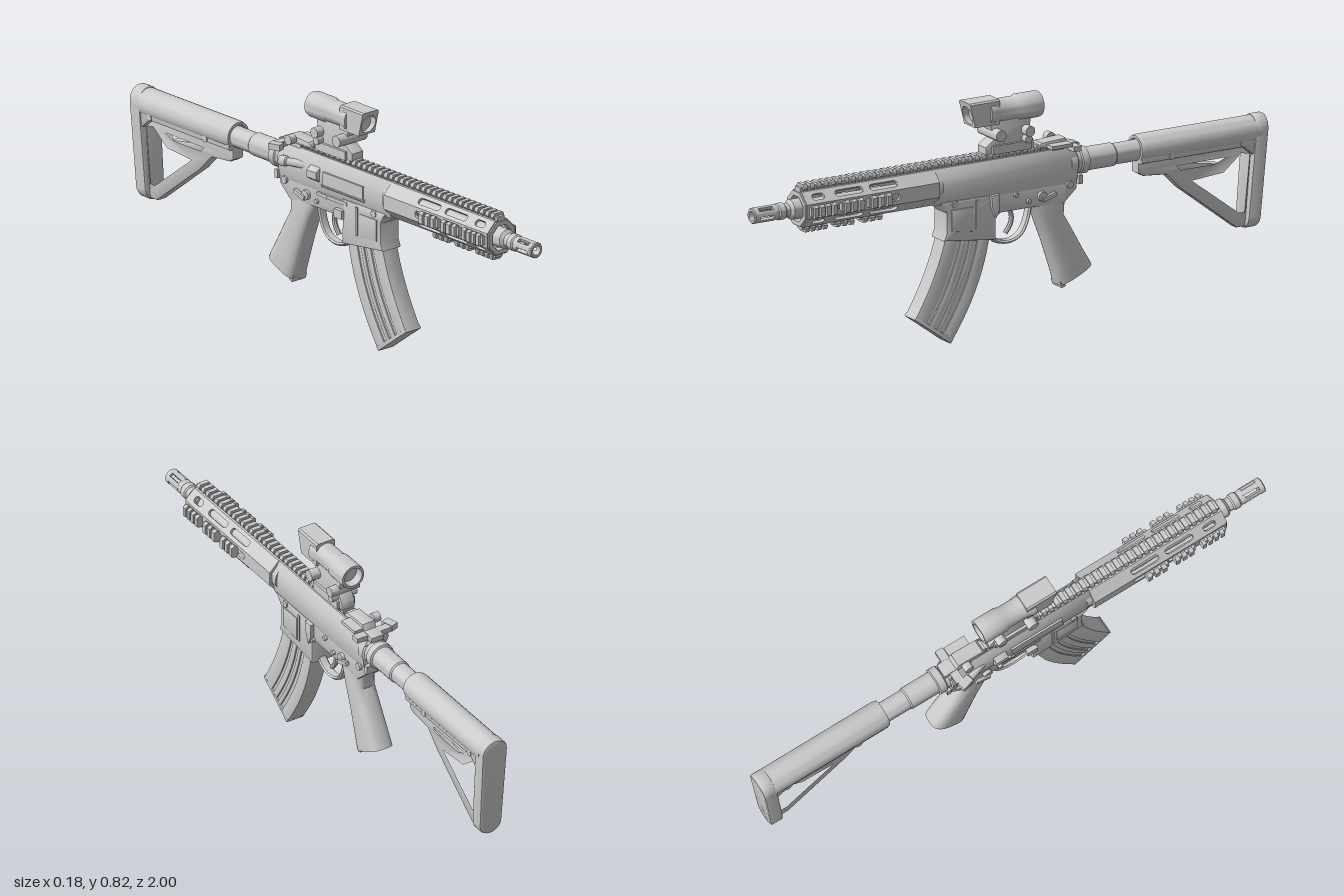
import * as THREE from 'three';
import { mergeGeometries, toCreasedNormals } from 'three/addons/utils/BufferGeometryUtils.js';

const material = new THREE.MeshStandardMaterial({ color: 0xcccccc });
const AXIS = 0.553; // height of the bore
const V = (x, y, z) => new THREE.Vector3(x, y, z);
const poly = (pts) => new THREE.Shape(pts.map(([a, b]) => new THREE.Vector2(a, b)));

// extrude an (x, y) outline from z0 to z1
function alongZ(shape, z0, z1, bevel = 0) {
  return new THREE.ExtrudeGeometry(shape, {
    depth: z1 - z0 - 2 * bevel, bevelEnabled: bevel > 0, bevelSize: bevel,
    bevelThickness: bevel, bevelOffset: -bevel, bevelSegments: 2, curveSegments: 12,
  }).translate(0, 0, z0 + bevel);
}
// extrude a (z, y) side outline to a width centred on x
const alongX = (shape, width, bevel = 0) =>
  alongZ(shape, -width / 2, width / 2, bevel).rotateY(-Math.PI / 2);

// turned part on the z axis; profile is [radius, z]
const turned = (pts, sides = 28) =>
  new THREE.LatheGeometry(pts.map(([r, z]) => new THREE.Vector2(r, z)), sides).rotateX(Math.PI / 2);
const pin = (r, len, sides = 16) => new THREE.CylinderGeometry(r, r, len, sides).rotateZ(Math.PI / 2);
const box = (w, h, d) => new THREE.BoxGeometry(w, h, d);

// rounded slot outline
function slot(c, d, half, r) {
  const p = new THREE.Path();
  p.absarc(c + half, d, r, -Math.PI / 2, Math.PI / 2);
  p.absarc(c - half, d, r, Math.PI / 2, Math.PI * 1.5);
  return p;
}
// toothed accessory rail standing on height y
function rail(z0, z1, y, width) {
  const parts = [box(width * 0.7, 0.016, z1 - z0).translate(0, y + 0.006, (z0 + z1) / 2)];
  const n = Math.round((z1 - z0) / 0.027), step = (z1 - z0) / n, h = width / 2;
  const tooth = poly([[-h * 0.7, 0], [h * 0.7, 0], [h, 0.009], [h, 0.015], [h * 0.75, 0.024],
    [-h * 0.75, 0.024], [-h, 0.015], [-h, 0.009]]);
  for (let i = 0; i < n; i++)
    parts.push(alongZ(tooth, z0 + i * step, z0 + (i + 0.6) * step).translate(0, y, 0));
  return mergeGeometries(parts.map((g) => g.index ? g.toNonIndexed() : g));
}
// loft of rounded sections: [front z, front y, back z, back y, half width, scale]
function loft(sections, sides = 24) {
  const pos = [], idx = [];
  const soft = (t) => Math.sign(t) * Math.pow(Math.abs(t), 0.65);
  for (const [fz, fy, bz, by, w, s = 1] of sections)
    for (let i = 0; i < sides; i++) {
      const a = (i / sides) * Math.PI * 2, c = soft(Math.cos(a)) * s / 2;
      pos.push(soft(Math.sin(a)) * w * s, (fy + by) / 2 + c * (fy - by), (fz + bz) / 2 + c * (fz - bz));
    }
  for (let k = 0; k < sections.length - 1; k++)
    for (let i = 0; i < sides; i++) {
      const a = k * sides + i, b = k * sides + (i + 1) % sides;
      idx.push(a, a + sides, b, b, a + sides, b + sides);
    }
  const g = new THREE.BufferGeometry();
  g.setAttribute('position', new THREE.Float32BufferAttribute(pos, 3));
  g.setIndex(idx);
  return g;
}

export function createModel() {
  const model = new THREE.Group();
  const body = new THREE.Group();
  body.name = 'body';
  body.position.x = 0.005;
  model.add(body);
  const add = (name, geo, x = 0, y = 0, z = 0, mat = material) => {
    const mesh = new THREE.Mesh(toCreasedNormals(geo, 0.6), mat);
    mesh.name = name;
    mesh.position.set(x, y, z);
    body.add(mesh);
    return mesh;
  };

  // barrel and slotted muzzle
  add('barrel', turned([[0, 0.25], [0.026, 0.25], [0.026, 0.8], [0.034, 0.8], [0.034, 0.85], [0.024, 0.86],
    [0.024, 0.875], [0.029, 0.88], [0.029, 0.9], [0.025, 0.905], [0.027, 0.925], [0.012, 0.925], [0.012, 0.88], [0, 0.88]]), 0, AXIS);
  for (let i = 0; i < 5; i++) {
    const a = (i / 5) * Math.PI * 2 + Math.PI / 2, s = new THREE.Shape();
    s.absarc(0, 0, 0.027, a - 0.36, a + 0.36, false);
    s.absarc(0, 0, 0.016, a + 0.36, a - 0.36, true);
    add('muzzleProng', alongZ(s, 0.92, 0.99), 0, AXIS);
  }
  add('muzzleRing', turned([[0.016, 0.98], [0.027, 0.98], [0.027, 0.997], [0.024, 1], [0.016, 1], [0.016, 0.98]]), 0, AXIS);

  // octagonal handguard with slotted panels
  const R = 0.061, half = R * Math.tan(Math.PI / 8);
  for (let i = 0; i < 8; i++) {
    const panel = poly([[0.3, -half], [0.82, -half], [0.82, half], [0.3, half]]);
    if (i !== 2) for (const c of [0.51, 0.645]) panel.holes.push(slot(c, 0, 0.042, 0.012));
    if (i !== 2) panel.holes.push(slot(0.765, 0, 0.012, 0.012));
    add('handguardPanel', alongX(panel, 0.01).translate(R - 0.005, 0, 0).rotateZ(i * Math.PI / 4), 0, AXIS);
  }
  add('handguardFrontRing', turned([[0.046, 0.8], [0.062, 0.8], [0.062, 0.825], [0.046, 0.825], [0.046, 0.8]], 8)
    .rotateZ(Math.PI / 8), 0, AXIS);
  add('barrelNut', turned([[0, 0.28], [0.052, 0.28], [0.052, 0.4], [0.03, 0.42], [0, 0.42]]), 0, AXIS);
  add('topRail', rail(-0.2, 0.82, 0.613, 0.046));
  for (const [name, turn] of [['sideRail', -1], ['bottomRail', 2], ['sideRail', 1]])
    for (const [z0, z1] of [[0.5, 0.585], [0.61, 0.69], [0.715, 0.81]])
      add(name, rail(z0, z1, R - 0.002, 0.044).rotateZ(turn * Math.PI / 2), 0, AXIS);

  // upper receiver
  add('upperReceiver', alongZ(poly([[-0.036, 0.49], [0.036, 0.49], [0.043, 0.51], [0.046, 0.55], [0.042, 0.582],
    [0.023, 0.614], [-0.023, 0.614], [-0.042, 0.582], [-0.046, 0.55], [-0.043, 0.51]]), -0.25, 0.31, 0.004));
  add('ejectionCover', box(0.008, 0.046, 0.2), -0.046, 0.548, 0.08);
  add('coverHinge', new THREE.CylinderGeometry(0.006, 0.006, 0.21, 10).rotateX(Math.PI / 2), -0.046, 0.522, 0.08);
  add('shellDeflector', alongZ(poly([[-0.04, 0.525], [-0.04, 0.58], [-0.062, 0.565], [-0.062, 0.54]]), -0.09, -0.04, 0.004));
  add('forwardAssist', turned([[0, -0.06], [0.016, -0.06], [0.018, -0.052], [0.018, -0.035], [0.013, -0.03], [0.015, 0.06], [0, 0.07]], 18)
    .rotateY(0.35), -0.045, 0.565, -0.16);
  add('chargingHandle', alongX(poly([[-0.27, 0.604], [-0.16, 0.604], [-0.16, 0.624], [-0.25, 0.628], [-0.27, 0.622]]), 0.05, 0.003));
  add('chargingLatch', box(0.135, 0.018, 0.03), 0, 0.616, -0.235);
  add('latchTab', box(0.03, 0.022, 0.045), -0.078, 0.616, -0.222).rotation.y = 0.3;
  // folded rear sight
  add('rearSight', alongX(poly([[-0.225, 0.625], [-0.1, 0.625], [-0.12, 0.643], [-0.215, 0.648]]), 0.05, 0.003));
  add('sightKnob', pin(0.017, 0.026), -0.042, 0.64, -0.19);
  add('sightPlate', box(0.04, 0.012, 0.08), 0.04, 0.63, -0.18);

  // lower receiver and magazine well
  add('lowerReceiver', alongX(poly([[0.3, 0.51], [0.26, 0.465], [0.08, 0.43], [-0.08, 0.43], [-0.2, 0.425],
    [-0.25, 0.47], [-0.255, 0.59], [-0.22, 0.59], [-0.2, 0.51]]), 0.074, 0.005));
  add('magazineWell', alongX(poly([[0.29, 0.5], [0.262, 0.462], [0.262, 0.39], [0.272, 0.365], [0.068, 0.34],
    [0.07, 0.5]]), 0.086, 0.008));
  add('wellPanel', alongX(poly([[0.245, 0.47], [0.245, 0.395], [0.16, 0.385], [0.16, 0.47]]), 0.092, 0.003));
  add('wellRib', box(0.094, 0.1, 0.01), 0, 0.44, 0.145);
  for (const [z, y, r] of [[0.23, 0.488, 0.012], [-0.22, 0.49, 0.013], [-0.01, 0.485, 0.008], [-0.06, 0.455, 0.008], [0.065, 0.437, 0.008]])
    add('receiverPin', pin(r, 0.094), 0, y, z);
  add('selectorHub', pin(0.017, 0.098), 0, 0.465, -0.112);
  for (const s of [-1, 1]) add('selectorLever', box(0.012, 0.014, 0.055), s * 0.05, 0.462, -0.135).rotation.x = 0.3;
  add('boltCatch', alongX(poly([[0.06, 0.5], [0.095, 0.5], [0.09, 0.455], [0.075, 0.42], [0.06, 0.45]]), 0.016, 0.003), 0.047);
  add('magazineRelease', box(0.016, 0.03, 0.04), -0.047, 0.445, 0.06);
  add('releaseFence', box(0.01, 0.012, 0.15), -0.04, 0.485, 0.02);

  // trigger and guard
  const bow = new THREE.CatmullRomCurve3([V(0, 0.355, 0.08), V(0, 0.328, 0.05), V(0, 0.318, 0), V(0, 0.335, -0.045),
    V(0, 0.375, -0.07), V(0, 0.435, -0.085)]);
  add('triggerGuard', new THREE.TubeGeometry(bow, 28, 0.008, 8).scale(2.2, 1, 1));
  const blade = new THREE.CatmullRomCurve3([V(0, 0.44, 0), V(0, 0.405, -0.016), V(0, 0.375, -0.012), V(0, 0.345, 0.008)]);
  add('trigger', new THREE.TubeGeometry(blade, 14, 0.008, 8).scale(1.2, 1, 1));

  // pistol grip with hollow foot
  add('grip', loft([[-0.07, 0.46, -0.235, 0.475, 0.034], [-0.085, 0.425, -0.215, 0.425, 0.038],
    [-0.105, 0.385, -0.21, 0.385, 0.04], [-0.14, 0.295, -0.245, 0.325, 0.042], [-0.172, 0.2, -0.287, 0.25, 0.045],
    [-0.19, 0.14, -0.317, 0.2, 0.046], [-0.19, 0.14, -0.317, 0.2, 0.046, 0.84],
    [-0.165, 0.22, -0.28, 0.27, 0.044, 0.8], [-0.165, 0.22, -0.28, 0.27, 0.044, 0]]));
  add('gripLip', box(0.06, 0.022, 0.016), 0, 0.145, -0.2).rotation.x = 0.35;

  // curved magazine: a core with long raised ribs
  const front = new THREE.QuadraticBezierCurve(new THREE.Vector2(0.255, 0.4), new THREE.Vector2(0.285, 0.26), new THREE.Vector2(0.38, 0.107));
  const rear = new THREE.QuadraticBezierCurve(new THREE.Vector2(0.082, 0.4), new THREE.Vector2(0.1, 0.2), new THREE.Vector2(0.24, 0.005));
  const strip = (f0, f1, t0 = 0, t1 = 1) => {
    const edge = (f) => Array.from({ length: 13 }, (_, i) => {
      const t = t0 + (t1 - t0) * i / 12;
      return front.getPoint(t).lerp(rear.getPoint(t), f);
    });
    return new THREE.Shape([...edge(f0), ...edge(f1).reverse()]);
  };
  add('magazine', alongX(strip(0, 1), 0.056, 0.003));
  for (const [a, b] of [[0, 0.3], [0.36, 0.5], [0.56, 0.66], [0.74, 1]])
    add('magazineRib', alongX(strip(a, b), 0.066, 0.004));
  add('magazineFloor', alongX(strip(-0.01, 1.0, 0.965, 1), 0.068, 0.003));

  // buffer tube
  add('bufferTube', turned([[0, -0.6], [0.036, -0.6], [0.036, -0.41], [0.04, -0.405], [0.04, -0.3], [0.047, -0.297], [0.047, -0.272],
    [0.043, -0.268], [0.043, -0.255], [0.049, -0.25], [0.049, -0.225], [0, -0.225]]), 0, 0.556);
  add('slingPlate', box(0.085, 0.03, 0.016), 0, 0.5, -0.262);

  // shoulder stock
  add('stockTube', turned([[0, -0.97], [0.05, -0.97], [0.05, -0.515], [0.047, -0.5], [0.037, -0.5], [0.037, -0.55]]), 0, 0.56);
  const frame = poly([[-0.5, 0.54], [-0.5, 0.48], [-0.52, 0.468], [-0.61, 0.46], [-0.67, 0.4], [-0.885, 0.235], [-0.95, 0.235], [-0.98, 0.54]]);
  frame.holes.push(poly([[-0.7, 0.427], [-0.89, 0.28], [-0.92, 0.28], [-0.942, 0.49], [-0.9, 0.497], [-0.83, 0.44]]));
  frame.holes.push(poly([[-0.64, 0.488], [-0.66, 0.462], [-0.8, 0.462], [-0.85, 0.488]]));
  add('stockFrame', alongX(frame, 0.046, 0.006));
  add('stockSkirt', alongX(poly([[-0.5, 0.55], [-0.5, 0.515], [-0.9, 0.515], [-0.955, 0.47], [-0.975, 0.55]]), 0.084, 0.008));
  add('adjustLever', alongX(poly([[-0.55, 0.49], [-0.6, 0.475], [-0.78, 0.442], [-0.82, 0.45], [-0.82, 0.465], [-0.62, 0.5]]), 0.034, 0.004));
  for (const z of [-0.9, -0.62]) add('stockPin', pin(0.012, 0.09), 0, 0.528, z);
  const pad = new THREE.Shape();
  pad.absarc(0, 0.565, 0.049, 0, Math.PI);
  pad.absarc(0, 0.27, 0.044, Math.PI, Math.PI * 2);
  const padGeo = alongZ(pad, -0.965, -0.915, 0.008), p = padGeo.attributes.position;
  for (let i = 0; i < p.count; i++) p.setZ(i, p.getZ(i) - (p.getY(i) - 0.23) * 0.09); // lean back
  add('buttPad', padGeo);

  // optic
  const oy = 0.775;
  add('opticTube', turned([[0, -0.09], [0.032, -0.09], [0.034, -0.12], [0.043, -0.12], [0.045, -0.112], [0.045, -0.035],
    [0.04, -0.025], [0.04, 0.05], [0.046, 0.07], [0.046, 0.085], [0, 0.085]], 32), 0, oy);
  const hood = poly([[-0.036, -0.038], [0.036, -0.038], [0.036, 0.042], [0.03, 0.047], [-0.03, 0.047], [-0.036, 0.042]]);
  hood.holes.push(new THREE.Path().absarc(0, 0, 0.031, 0, Math.PI * 2));
  const hoodGeo = alongZ(hood, 0.05, 0.155), h = hoodGeo.attributes.position;
  for (let i = 0; i < h.count; i++) if (h.getZ(i) > 0.1) h.setZ(i, h.getZ(i) + h.getY(i) * 0.25); // raked front
  add('opticHood', hoodGeo, 0, oy);
  add('opticLens', new THREE.CircleGeometry(0.032, 28), 0, oy, 0.13);
  add('opticMount', alongX(poly([[0.1, 0.632], [0.1, 0.66], [0.065, 0.685], [0.085, 0.745], [-0.08, 0.745], [-0.07, 0.69], [-0.09, 0.66], [-0.09, 0.632]]), 0.052, 0.004));
  add('mountClamp', box(0.07, 0.03, 0.15), 0, 0.648, 0);
  add('mountBolt', pin(0.02, 0.122, 20), 0, 0.702, 0.06);
  add('mountBolt', pin(0.018, 0.11, 20), 0, 0.7, -0.058);
  add('clampKnob', pin(0.014, 0.1, 12), 0, 0.672, -0.055);
  return model;
}
